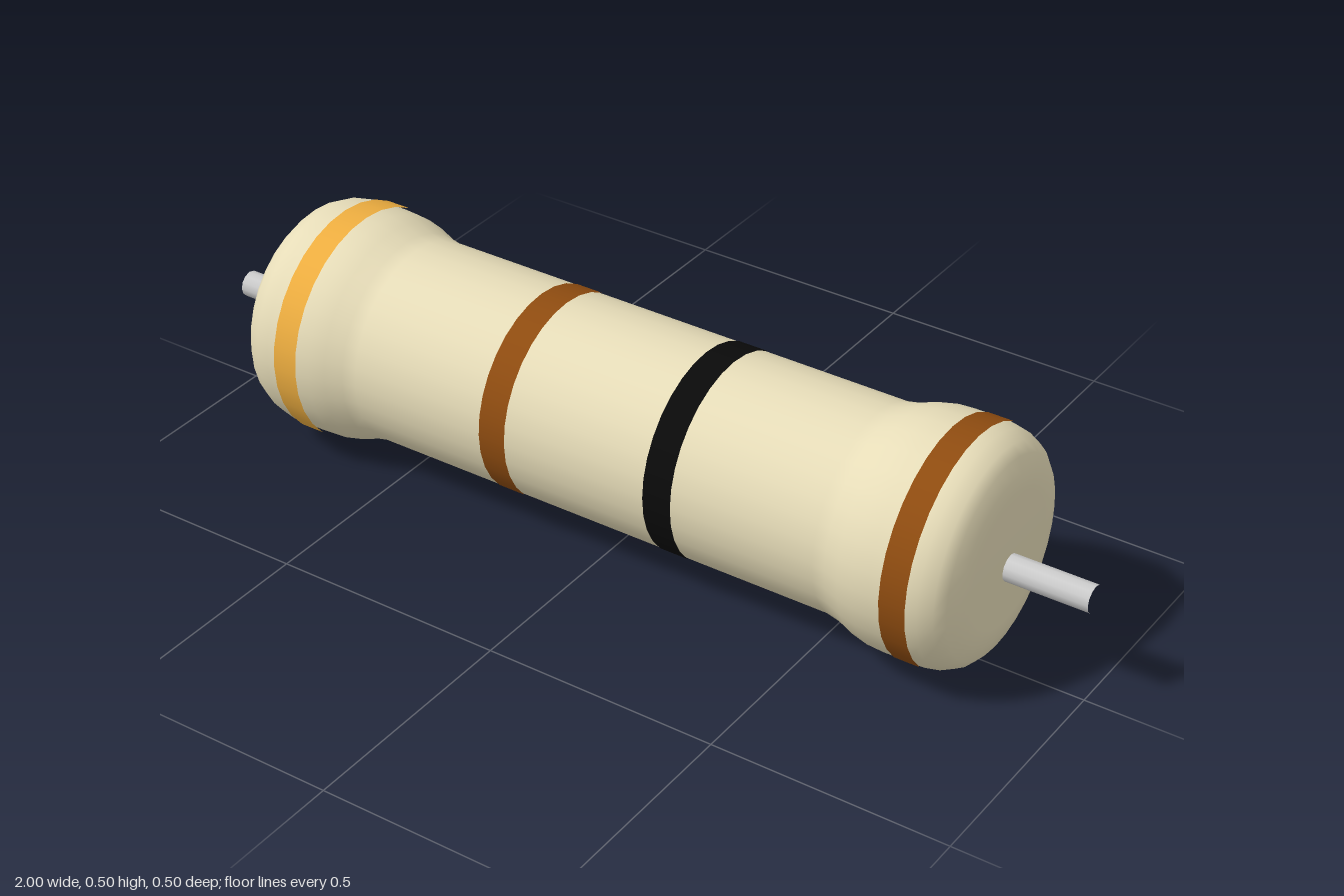
import * as THREE from 'three';

const SIDES = 32;
const AXIS_Y = 0.25;
const material = (color) => new THREE.MeshStandardMaterial({ color });

// Surface of revolution around the x axis; points are [x, radius], left to right
function turned(name, points, mat, sides = SIDES) {
  const geometry = new THREE.LatheGeometry(points.map(([x, r]) => new THREE.Vector2(r, x)), sides);
  geometry.rotateZ(-Math.PI / 2);
  const mesh = new THREE.Mesh(geometry, mat);
  mesh.name = name;
  mesh.position.y = AXIS_Y;
  return mesh;
}

export function createModel() {
  const group = new THREE.Group();
  group.name = 'resistor';

  // Ceramic body: a slim barrel between two swollen, rounded end caps
  const cap = [
    [0.535, 0.214], [0.565, 0.22], [0.6, 0.233], [0.635, 0.241], [0.67, 0.243], [0.74, 0.243],
    [0.77, 0.237], [0.797, 0.224], [0.814, 0.205], [0.825, 0.172], [0.829, 0.14], [0.829, 0],
  ];
  const mirrored = cap.map(([x, r]) => [-x, r]).reverse();
  const body = turned('body', [...mirrored, ...cap], material(0xe6dcb8));
  body.position.x = -0.005;
  group.add(body);

  // Painted colour bands, open at both ends
  const brown = material(0x8f4c10);
  const bands = [
    ['goldBand', -0.722, -0.667, 0.248, material(0xeeae40)],
    ['firstBrownBand', -0.232, -0.171, 0.2155, brown],
    ['blackBand', 0.154, 0.217, 0.2155, material(0x0a0a0a)],
    ['secondBrownBand', 0.69, 0.745, 0.2445, brown],
  ];
  for (const [name, x0, x1, r, mat] of bands) {
    group.add(turned(name, [[x0, r], [x1, r]], mat));
  }

  // Wire leads: open tubes set slightly below the body axis
  const metal = material(0xcccccc);
  for (const [name, x0, x1] of [['rightLead', -1, -0.82], ['leftLead', 0.82, 1]]) {
    const lead = turned(name, [[x0, 0.028], [x1, 0.028]], metal, 12);
    lead.position.y = 0.231;
    lead.position.z = -0.005;
    group.add(lead);
  }
  return group;
}
